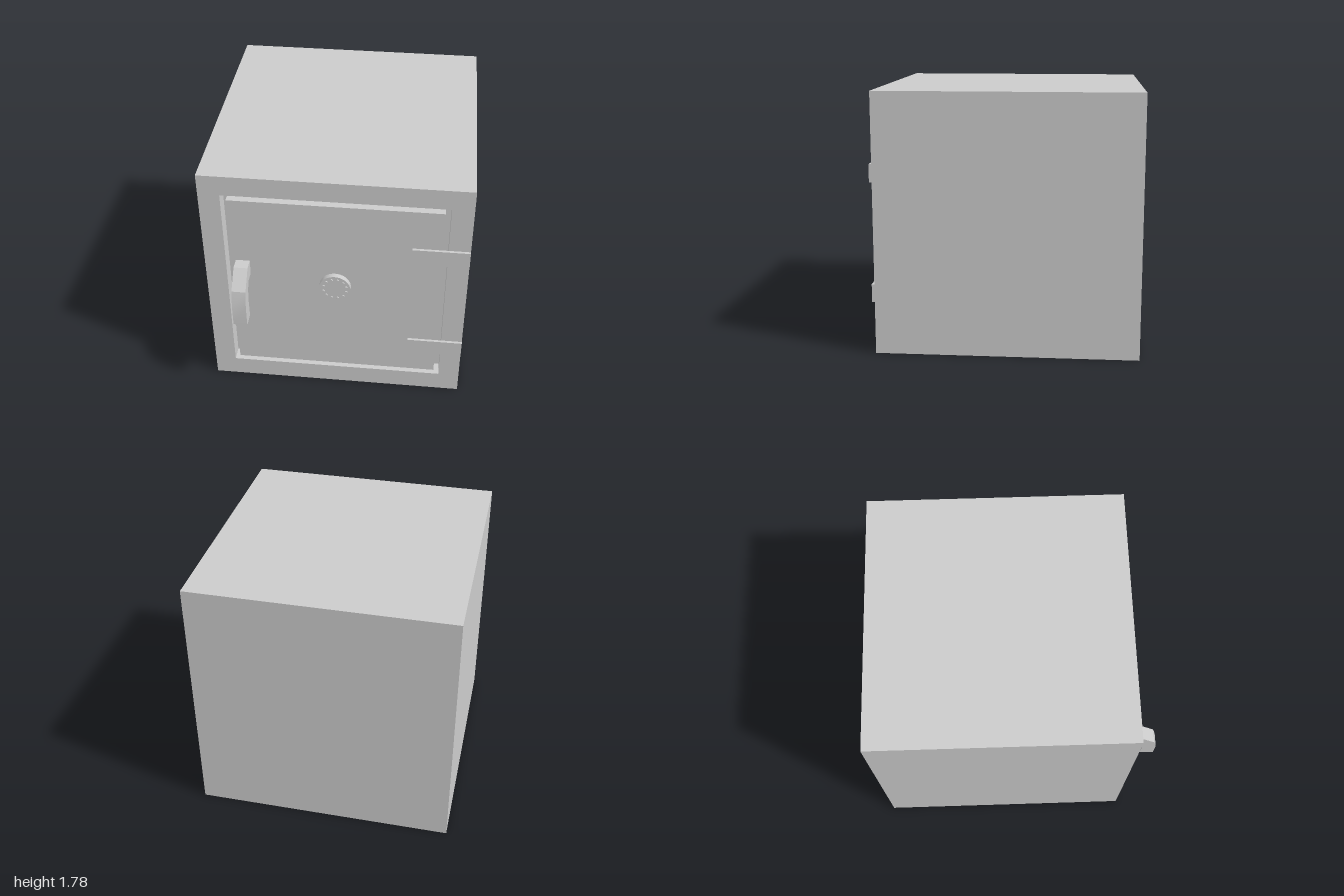
import * as THREE from 'three';
import { toCreasedNormals } from 'three/addons/utils/BufferGeometryUtils.js';

const FRONT = 0.78; // z of the safe's front face
const material = new THREE.MeshStandardMaterial({ color: 0xcccccc });

function add(parent, name, geometry, x = 0, y = 0, z = 0) {
  const mesh = new THREE.Mesh(geometry, material);
  mesh.name = name;
  mesh.position.set(x, y, z);
  parent.add(mesh);
  return mesh;
}

// Box without its +z side, reaching back from z = 0
function openBox(w, h, d) {
  const geometry = new THREE.BoxGeometry(w, h, d).translate(0, 0, -d / 2);
  const index = Array.from(geometry.index.array);
  index.splice(24, 6);
  geometry.setIndex(index);
  geometry.clearGroups();
  return geometry;
}

function rectangle(target, w, h) {
  target.moveTo(-w / 2, -h / 2);
  target.lineTo(w / 2, -h / 2);
  target.lineTo(w / 2, h / 2);
  target.lineTo(-w / 2, h / 2);
  target.closePath();
  return target;
}

export function createModel() {
  const safe = new THREE.Group();
  safe.name = 'safe';

  // Cabinet: outer shell, front frame and the recess holding the door
  const cabinet = new THREE.Group();
  cabinet.name = 'cabinet';
  cabinet.position.set(0, 0.89, FRONT);
  safe.add(cabinet);
  add(cabinet, 'shell', openBox(1.78, 1.78, 1.78));
  const frame = rectangle(new THREE.Shape(), 1.78, 1.78);
  frame.holes.push(rectangle(new THREE.Path(), 1.49, 1.49));
  add(cabinet, 'frontFrame', new THREE.ShapeGeometry(frame));
  const recess = openBox(1.49, 1.49, 0.1).scale(-1, 1, 1); // mirrored to face inward
  recess.computeVertexNormals();
  add(cabinet, 'recess', recess);

  // Door, flush with the frame
  add(safe, 'door', new THREE.BoxGeometry(1.415, 1.415, 0.1), 0, 0.89, FRONT - 0.05);

  // Hinge straps
  for (const [name, y] of [['lowerHinge', 0.423], ['upperHinge', 1.24]]) {
    add(safe, name, new THREE.BoxGeometry(0.38, 0.122, 0.018), 0.7, y, FRONT + 0.009);
  }

  // Combination dial with a ring of studs
  const dial = new THREE.Group();
  dial.name = 'dial';
  dial.position.set(0, 0.93, FRONT);
  safe.add(dial);
  const disc = new THREE.CylinderGeometry(0.107, 0.107, 0.036, 48).rotateX(Math.PI / 2);
  add(dial, 'dialDisc', disc, 0, 0, 0.018);
  const stud = new THREE.CylinderGeometry(0.01, 0.01, 0.012, 16).rotateX(Math.PI / 2);
  for (let i = 0; i < 12; i++) {
    const a = (i + 0.5) * Math.PI / 6;
    add(dial, 'dialStud', stud, 0.08 * Math.cos(a), 0.08 * Math.sin(a), 0.038);
  }

  // Bent handle: side profile as [z, y], extruded across x
  const profile = [
    [0.78, 1.1], [0.86, 1.1], [0.973, 0.984], [1, 0.87], [1, 0.71],
    [0.898, 0.71], [0.905, 0.84], [0.893, 0.94], [0.86, 0.99], [0.78, 0.99],
  ].map(([z, y]) => new THREE.Vector2(z, y));
  const bar = new THREE.ExtrudeGeometry(new THREE.Shape(profile), { depth: 0.095, bevelEnabled: false });
  bar.rotateY(-Math.PI / 2);
  add(safe, 'handle', toCreasedNormals(bar, 0.4), -0.58, 0, 0);

  return safe;
}
